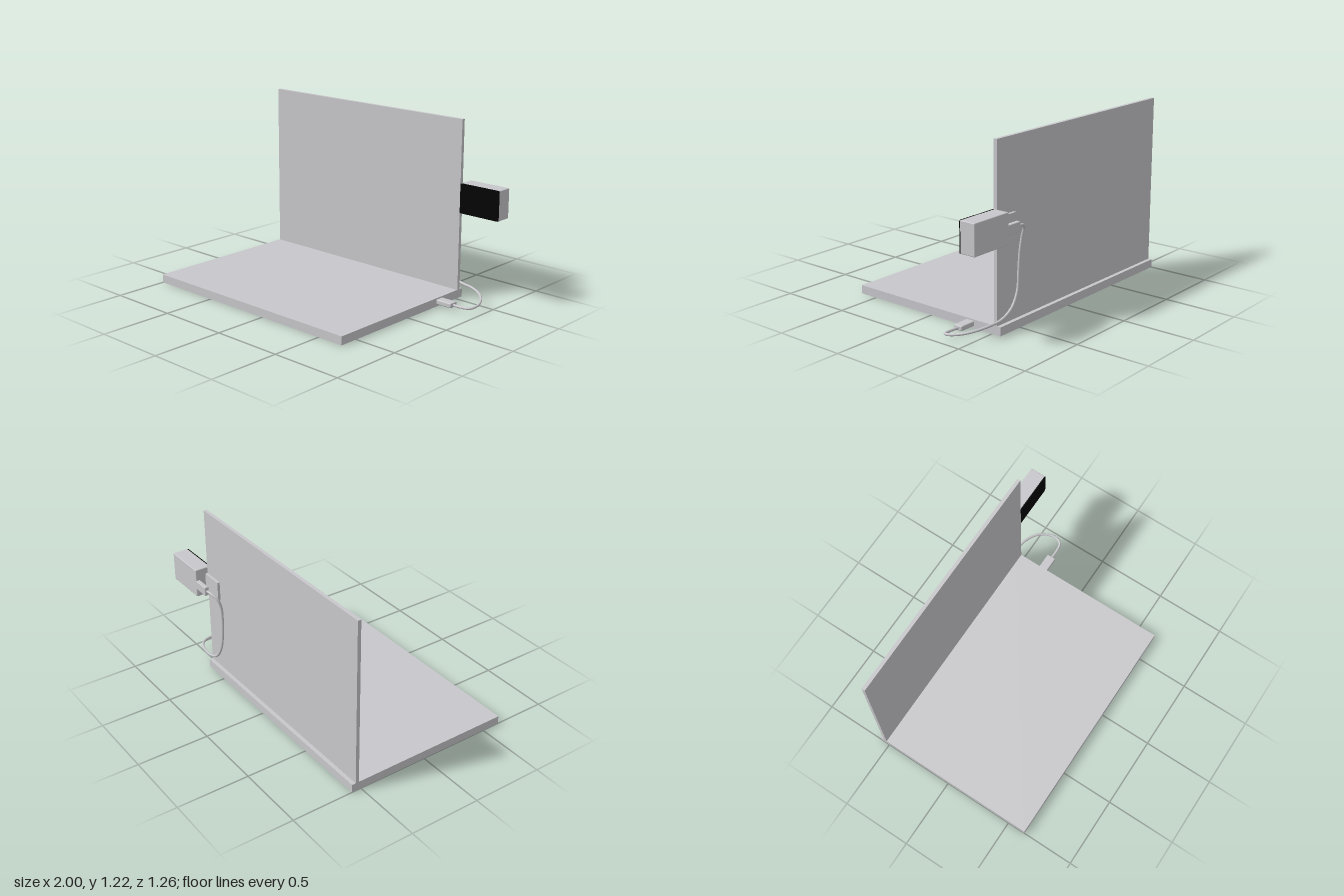
import * as THREE from 'three';
import { RoundedBoxGeometry } from 'three/addons/geometries/RoundedBoxGeometry.js';

export function createModel() {
  const group = new THREE.Group();
  const grey = new THREE.MeshStandardMaterial({ color: 0xc8c8cc });
  grey.name = 'light grey';
  const black = new THREE.MeshStandardMaterial({ color: 0x020202 });
  black.name = 'black';

  const add = (name, geometry, material = grey) => {
    const mesh = new THREE.Mesh(geometry, material);
    mesh.name = name;
    group.add(mesh);
    return mesh;
  };

  // Box given by its extents, with optional rounded edges
  const block = (name, [x0, x1], [y0, y1], [z0, z1], radius = 0) => {
    const size = [x1 - x0, y1 - y0, z1 - z0];
    const geometry = radius
      ? new RoundedBoxGeometry(...size, 3, radius)
      : new THREE.BoxGeometry(...size);
    geometry.translate((x0 + x1) / 2, (y0 + y1) / 2, (z0 + z1) / 2);
    return add(name, geometry);
  };

  // Laptop: base slab and upright screen
  block('laptopBase', [-1, 0.693], [0, 0.058], [-0.567, 0.63]);
  block('laptopScreen', [-1, 0.693], [0.058, 1.22], [-0.54, -0.516]);

  // Side device with its bracket behind the screen
  block('deviceBody', [0.693, 1], [0.593, 0.796], [-0.63, -0.519], 0.006);
  block('bracket', [0.535, 0.72], [0.612, 0.75], [-0.558, -0.54]);

  // Black device front with rounded corners
  const w = 0.1535, h = 0.1015, r = 0.009;
  const face = new THREE.Shape();
  face.moveTo(-w + r, -h);
  face.lineTo(w - r, -h);
  face.quadraticCurveTo(w, -h, w, -h + r);
  face.lineTo(w, h - r);
  face.quadraticCurveTo(w, h, w - r, h);
  face.lineTo(-w + r, h);
  face.quadraticCurveTo(-w, h, -w, h - r);
  face.lineTo(-w, -h + r);
  face.quadraticCurveTo(-w, -h, -w + r, -h);
  const glass = add('deviceFront',
    new THREE.ExtrudeGeometry(face, { depth: 0.006, bevelEnabled: false, curveSegments: 4 }), black);
  glass.position.set(0.8465, 0.6945, -0.521);

  // Cable plugs at the device and at the laptop
  block('devicePlug', [0.58, 0.7], [0.65, 0.715], [-0.63, -0.6], 0.006);
  block('laptopPlug', [0.685, 0.81], [0.014, 0.048], [-0.358, -0.292], 0.008);

  // Cable hanging behind the screen and looping round to the base
  const path = new THREE.CatmullRomCurve3([
    [0.59, 0.683, -0.614], [0.53, 0.678, -0.605], [0.492, 0.65, -0.586],
    [0.486, 0.59, -0.567], [0.494, 0.495, -0.557], [0.505, 0.36, -0.556],
    [0.523, 0.245, -0.561], [0.582, 0.15, -0.563], [0.68, 0.1, -0.561],
    [0.79, 0.088, -0.548], [0.875, 0.075, -0.512], [0.93, 0.06, -0.455],
    [0.955, 0.047, -0.385], [0.935, 0.036, -0.335], [0.87, 0.031, -0.322],
    [0.8, 0.03, -0.325],
  ].map((p) => new THREE.Vector3(...p)));
  add('cable', new THREE.TubeGeometry(path, 120, 0.009, 10));

  return group;
}
